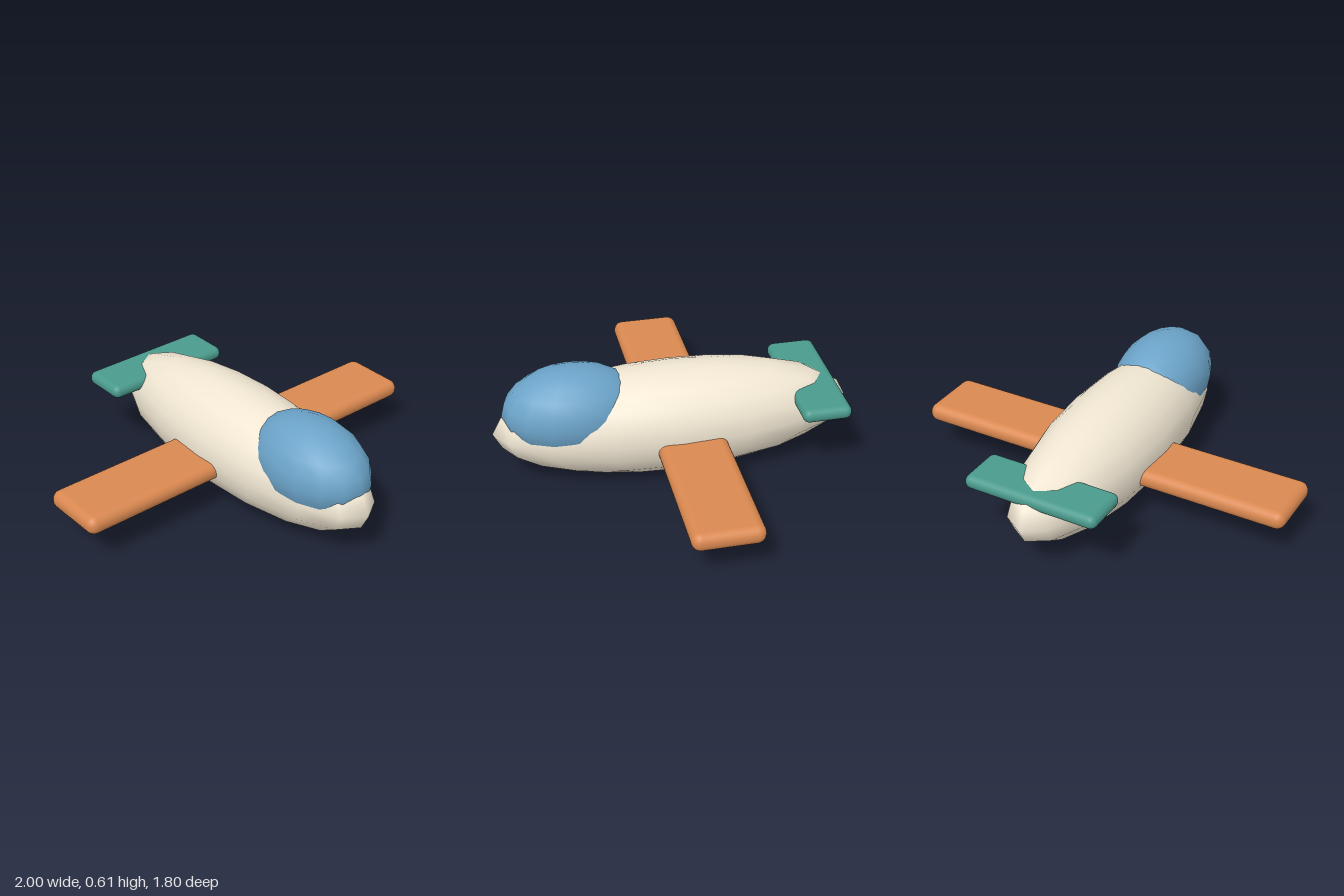
import * as THREE from 'three';
import { RoundedBoxGeometry } from 'three/addons/geometries/RoundedBoxGeometry.js';

function addPart(group, name, geometry, color, position) {
  const mesh = new THREE.Mesh(geometry, new THREE.MeshStandardMaterial({ color }));
  mesh.name = name;
  mesh.position.set(...position);
  group.add(mesh);
}

// Low-segment sphere stretched to the given half-sizes
const ellipsoid = (rx, ry, rz) => new THREE.SphereGeometry(1, 16, 10).scale(rx, ry, rz);

export function createModel() {
  const plane = new THREE.Group();
  plane.name = 'airplane';

  // Body and cockpit bubble
  addPart(plane, 'fuselage', ellipsoid(0.28, 0.28, 0.9), 0xf0e6d2, [0, 0.28, 0]);
  addPart(plane, 'canopy', ellipsoid(0.23, 0.23, 0.35), 0x6ba3c8, [0, 0.38, 0.5]);

  // Main wing and tailplane run straight through the body
  addPart(plane, 'wing', new RoundedBoxGeometry(2, 0.096, 0.347, 3, 0.046), 0xd98850, [0, 0.232, -0.05]);
  addPart(plane, 'tailplane', new RoundedBoxGeometry(0.7, 0.072, 0.247, 3, 0.035), 0x4a9a8c, [0, 0.385, -0.703]);

  return plane;
}
